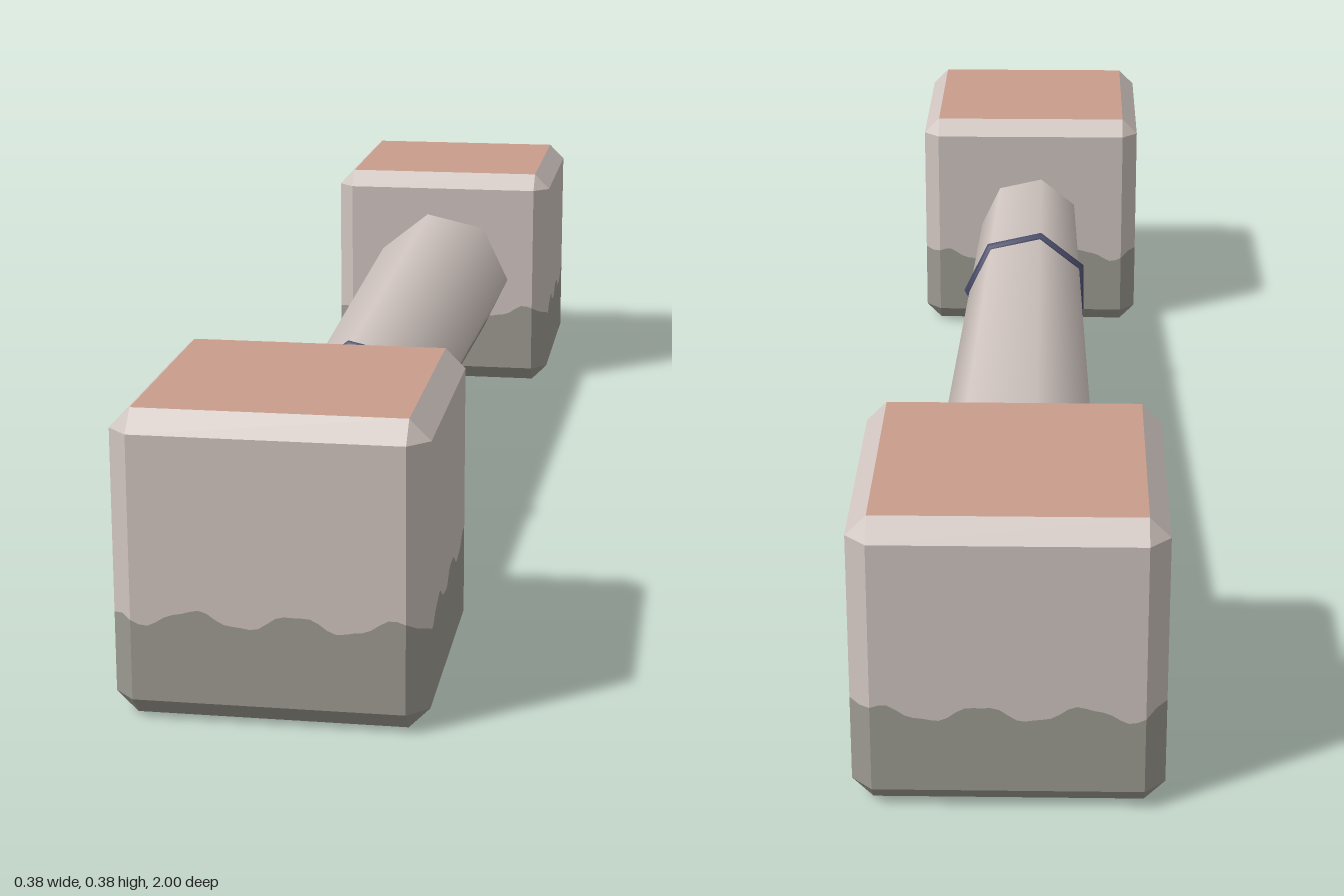
import * as THREE from 'three';

const material = (name, color) => {
  const m = new THREE.MeshStandardMaterial({ color });
  m.name = name;
  return m;
};

const H = 0.192;   // half the block size, also the axis height
const C = 0.026;   // chamfer
const IN = H - C;

// Joins neighbouring cross-sections (arrays of [x, y, z]) with quads.
function skin(sections) {
  const w = sections[0].length, index = [];
  for (let j = 0; j < sections.length - 1; j++) {
    for (let i = 0; i < w - 1; i++) {
      const a = j * w + i, b = a + 1, c = b + w, d = a + w;
      index.push(a, b, c, a, c, d);
    }
  }
  const g = new THREE.BufferGeometry();
  g.setAttribute('position', new THREE.Float32BufferAttribute(sections.flat(2), 3));
  g.setIndex(index);
  return g;
}

function flat(geometry) {
  const g = geometry.toNonIndexed();
  g.computeVertexNormals();
  return g;
}

function addMesh(parent, name, geometry, mat) {
  const mesh = new THREE.Mesh(geometry, mat);
  mesh.name = name;
  parent.add(mesh);
  return mesh;
}

// Wavy upper edge of the weathered band
const wave = (t) => 0.133 + 0.010 * Math.cos((t + 0.09) * 51) + 0.002 * Math.sin(t * 140);

// Octagonal outline of a chamfered block, counter-clockwise from above
const corners = [[H, IN], [H, -IN], [IN, -H], [-IN, -H], [-H, -IN], [-H, IN], [-IN, H], [IN, H], [H, IN]];

function outline() {
  const pts = [];
  for (let k = 0; k < 8; k++) {
    const n = k % 2 ? 2 : 32;
    const [a, b] = [corners[k], corners[k + 1]];
    for (let i = 0; i < n; i++) {
      pts.push([a[0] + (b[0] - a[0]) * i / n, a[1] + (b[1] - a[1]) * i / n]);
    }
  }
  pts.push(corners[0]);
  return pts;
}

function makeBlock(name, mats) {
  const block = new THREE.Group();
  block.name = name;
  const ring = outline();
  const at = (y) => ring.map(([x, z]) => [x, y, z]);
  const edge = ring.map(([x, z]) => [x, wave(Math.abs(x) > IN + 0.001 ? -z : x), z]);
  const rim = (y) => corners.map(([x, z]) => [x, y, z]);
  const inner = (y) => corners.map(([x, z]) => [
    THREE.MathUtils.clamp(x, -IN, IN), y, THREE.MathUtils.clamp(z, -IN, IN)]);

  // Sides, divided along the wavy edge
  addMesh(block, 'weatheredSides', flat(skin([at(C), edge])), mats.weathered);
  addMesh(block, 'cleanSides', flat(skin([edge, at(2 * H - C)])), mats.stone);
  // Chamfers
  addMesh(block, 'lowerChamfer', flat(skin([inner(0), rim(C)])), mats.weathered);
  addMesh(block, 'upperChamfer', flat(skin([rim(2 * H - C), inner(2 * H)])), mats.stone);
  // Square end faces
  const plate = new THREE.PlaneGeometry(2 * IN, 2 * IN);
  const top = addMesh(block, 'topFace', plate, mats.clay);
  top.rotation.x = -Math.PI / 2;
  top.position.y = 2 * H;
  const bottom = addMesh(block, 'bottomFace', plate, mats.clay);
  bottom.rotation.x = Math.PI / 2;
  return block;
}

// Tapered seven-sided shaft, smooth shaded and weathered underneath
function makeShaft(mats) {
  const shaft = new THREE.Group();
  shaft.name = 'shaft';
  const upper = [], lower = [], steps = 120, end = 0.64;
  for (let j = 0; j <= steps; j++) {
    const z = -end + 2 * end * j / steps;
    const r = 0.1045 - 0.0266 * z;
    const v = Array.from({ length: 7 }, (_, k) => {
      const a = k * Math.PI * 2 / 7;
      return [r * Math.cos(a), r * Math.sin(a), z];
    });
    const level = 0.136 - H + 0.007 * Math.cos(z * 38) + 0.002 * Math.sin(z * 101);
    const cut = (a, b) => {
      const t = THREE.MathUtils.clamp((level - a[1]) / (b[1] - a[1]), 0.02, 0.98);
      return [a[0] + (b[0] - a[0]) * t, a[1] + (b[1] - a[1]) * t, z];
    };
    const right = cut(v[0], v[6]), left = cut(v[4], v[5]);
    upper.push([right, v[0], v[1], v[2], v[3], v[4], left]);
    lower.push([left, v[5], v[6], right]);
  }
  const smooth = (sections) => {
    const g = skin(sections);
    const normals = sections.flat().flatMap(([x, y]) => {
      const l = Math.hypot(x, y);
      return [x / l, y / l, 0.027];
    });
    g.setAttribute('normal', new THREE.Float32BufferAttribute(normals, 3));
    return g;
  };
  addMesh(shaft, 'cleanShaft', smooth(upper), mats.stone);
  addMesh(shaft, 'weatheredShaft', smooth(lower), mats.weathered);
  shaft.position.y = H;
  return shaft;
}

export function createModel() {
  const mats = {
    stone: material('paleStone', 0xcfc4bf),
    weathered: material('weatheredStone', 0x9c9a91),
    clay: material('clay', 0xc99c8c),
    band: material('darkBlueBand', 0x4a4c6c),
  };
  const model = new THREE.Group();
  model.name = 'column';

  // Blocks at both ends
  for (const [name, side] of [['frontBlock', 1], ['backBlock', -1]]) {
    const block = makeBlock(name, mats);
    block.position.z = side * (1 - H);
    model.add(block);
  }
  model.add(makeShaft(mats));

  // Thin band around the shaft
  const band = addMesh(model, 'band', new THREE.TorusGeometry(0.0965, 0.0095, 6, 7), mats.band);
  band.position.set(0, H, 0.275);
  return model;
}
